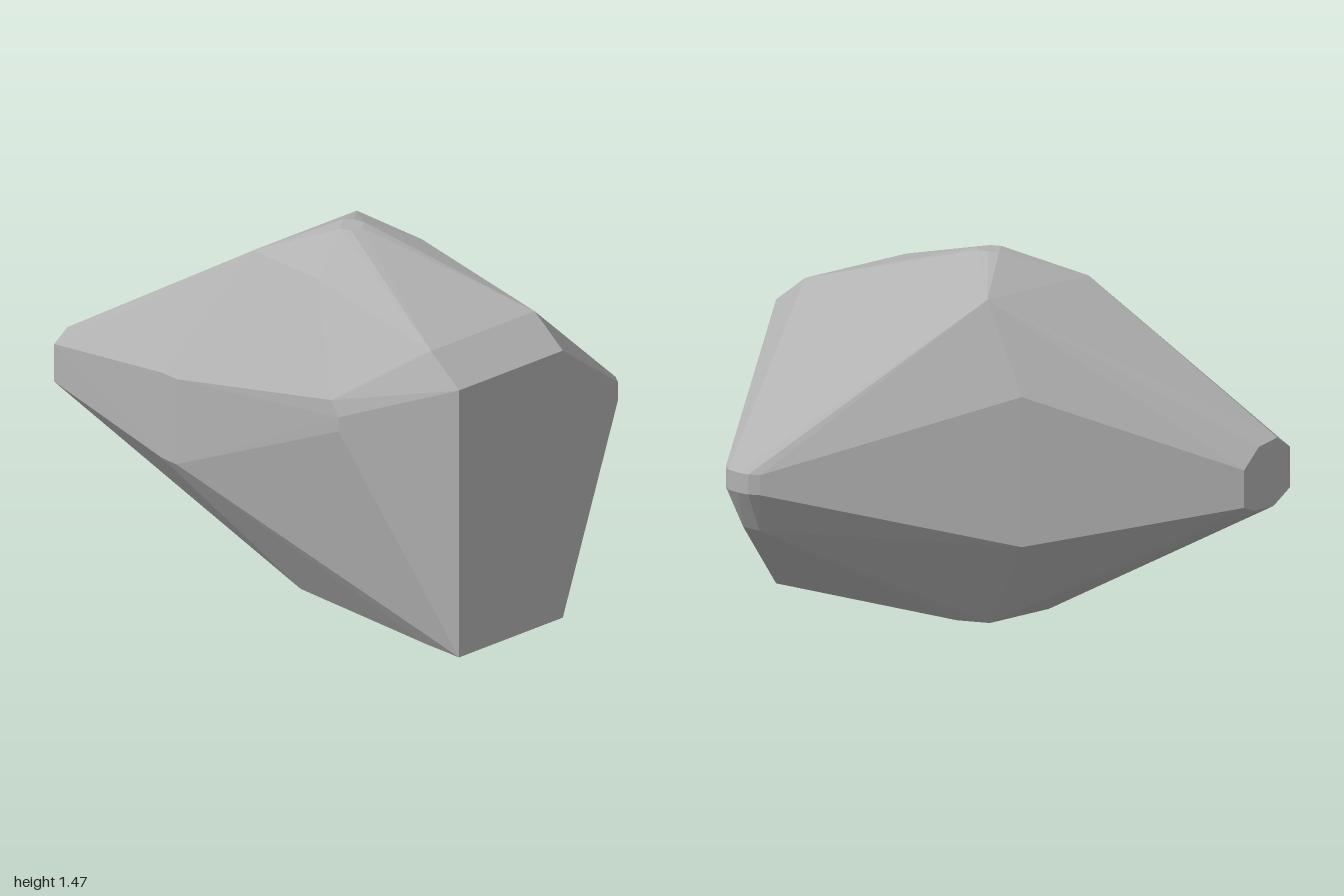
import * as THREE from 'three';
import { ConvexGeometry } from 'three/addons/geometries/ConvexGeometry.js';

export function createModel() {
  const group = new THREE.Group();
  const points = [];
  const add = (x, y, z) => points.push(new THREE.Vector3(x, y, z));

  // Cut slab: the same outline on two parallel planes
  const outline = [[1, 0.01], [1, 1.145], [0.84, 1.26], [0.2, 1.355], [-0.17, 1.355]];
  for (const [x, y] of outline) {
    add(x, y, 0.47);
    add(x, y, -0.08);
  }

  // Small blunt summit
  for (const [x, z] of [[0.03, 0.18], [0.06, 0.15], [0.11, 0.14], [0.14, 0.18], [0.13, 0.23], [0.09, 0.25]]) add(x, 1.465, z);

  // Narrow eight-sided end
  const end = [[0.57, 0.5], [0.72, 0.5], [0.8, 0.58], [0.82, 0.68], [0.77, 0.75], [0.61, 0.75], [0.55, 0.66], [0.55, 0.55]];
  for (const [y, z] of end) add(-1, y, z);
  add(-0.98, 0.53, 0.6);

  // Front bulge
  add(-0.35, 0.87, 0.78);
  add(-0.27, 0.87, 0.78);
  add(-0.35, 0.51, 0.785);
  add(-0.27, 0.51, 0.785);

  // Rounded front shoulder
  for (const [x, y] of [[0.52, 0.86], [0.55, 0.89], [0.55, 0.95], [0.51, 1.01]]) add(x, y, 0.69);

  // Ridge at the back of the narrow end
  add(-0.36, 1.0, -0.08);
  add(-0.36, 0.4, -0.08);

  // Rounded back tip and its lower corner
  for (const [x, z] of [[0.4, -0.755], [0.44, -0.78], [0.49, -0.787], [0.55, -0.78], [0.59, -0.755], [0.62, -0.71]]) {
    add(x, 0.59, z);
    add(x, 0.67, z);
  }
  add(0.48, 0.42, -0.68);
  add(0.57, 0.42, -0.68);

  // Underside
  for (const [x, z] of [[0, 0.1], [0, 0.42], [0.12, 0.04], [0.45, 0.43], [0.82, 0.03]]) add(x, 0, z);
  add(0.1, 0.005, 0.47);
  add(0.82, 0.005, 0.47);

  const stone = new THREE.MeshStandardMaterial({ color: 0xb2b2b2 });
  stone.name = 'stone grey';
  const rock = new THREE.Mesh(new ConvexGeometry(points), stone);
  rock.name = 'rock';
  group.add(rock);
  return group;
}
